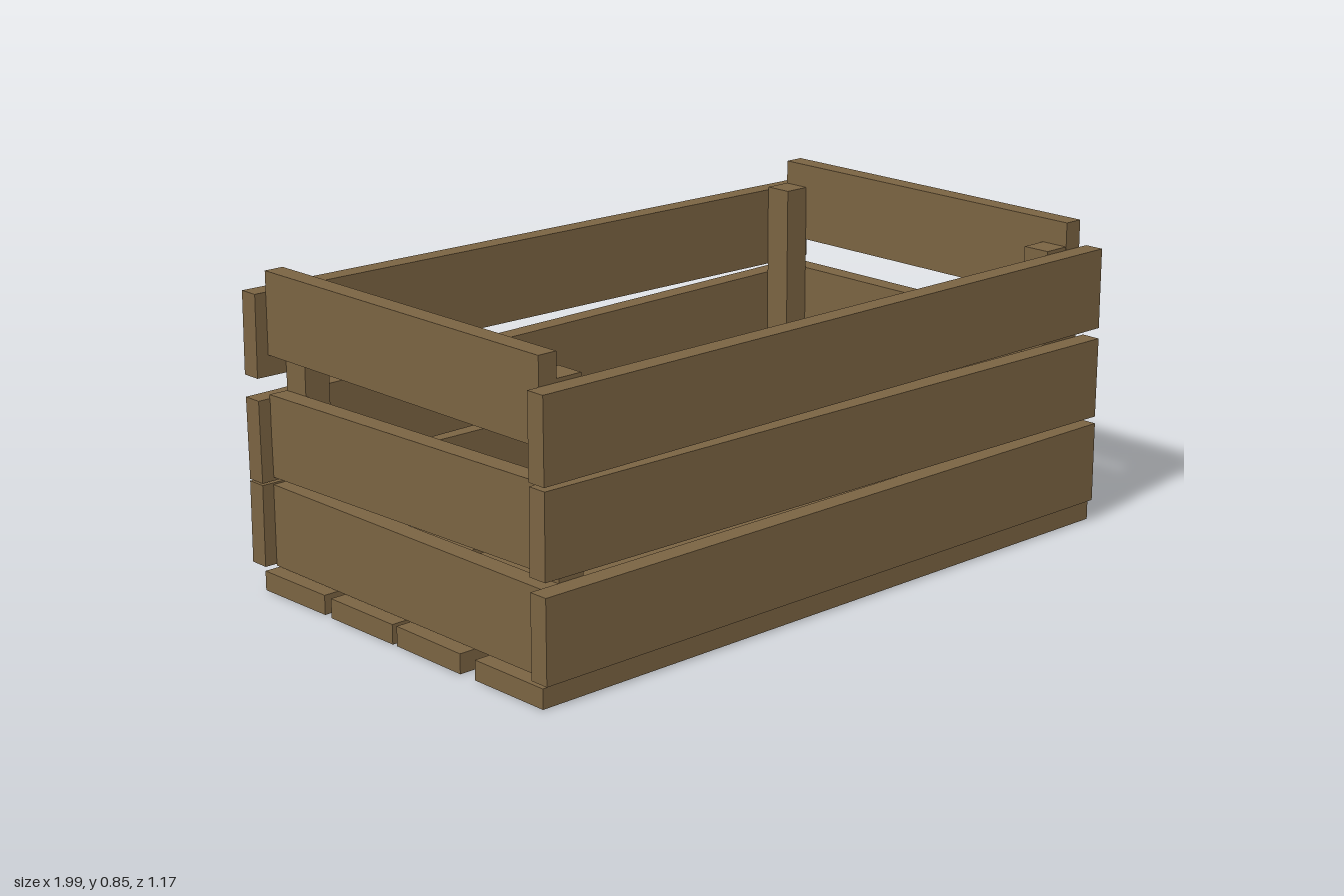
import * as THREE from 'three';

export function createModel() {
  const crate = new THREE.Group();
  crate.name = 'woodenCrate';
  const wood = new THREE.MeshStandardMaterial({ color: 0x7a6342, flatShading: true });

  function board(name, size, position, rotation = [0, 0, 0]) {
    const mesh = new THREE.Mesh(new THREE.BoxGeometry(...size), wood);
    mesh.name = name;
    mesh.position.set(...position);
    mesh.rotation.set(...rotation);
    crate.add(mesh);
  }

  // Floor slats: [centre z, small turn about y]
  [[-0.418, 0.0125], [-0.129, 0.003], [0.15, -0.01], [0.445, 0]].forEach(([z, turn], i) =>
    board(`floorSlat${i + 1}`, [1.99, 0.053, 0.25], [0, 0.0265, z], [0, turn, 0]));

  // Long side slats: [centre y, small tilt about z], bottom to top
  const longSides = {
    front: [0.5575, [[0.171, -0.001], [0.422, -0.01], [0.664, 0]]],
    back: [-0.5575, [[0.168, -0.007], [0.411, 0.009], [0.674, -0.01]]],
  };
  for (const [side, [z, slats]] of Object.entries(longSides))
    slats.forEach(([y, tilt], i) =>
      board(`${side}Slat${i + 1}`, [1.99, 0.222, 0.055], [0, y, z], [0, 0, tilt]));

  // End slats: [centre y, small tilt about x], bottom to top
  const ends = {
    left: [0.9375, [[0.17, 0], [0.433, 0], [0.74, 0]]],
    right: [-0.9325, [[0.17, 0], [0.423, -0.02], [0.74, 0]]],
  };
  for (const [side, [x, slats]] of Object.entries(ends))
    slats.forEach(([y, tilt], i) =>
      board(`${side}EndSlat${i + 1}`, [0.055, 0.222, 1.06], [x, y, 0], [tilt, 0, 0]));

  // Corner posts inside the walls
  for (const x of [-0.8675, 0.8705])
    for (const z of [-0.49, 0.49])
      board(`${z > 0 ? 'front' : 'back'}${x > 0 ? 'Left' : 'Right'}Post`,
        [0.076, 0.73, 0.08], [x, 0.42, z]);

  return crate;
}
